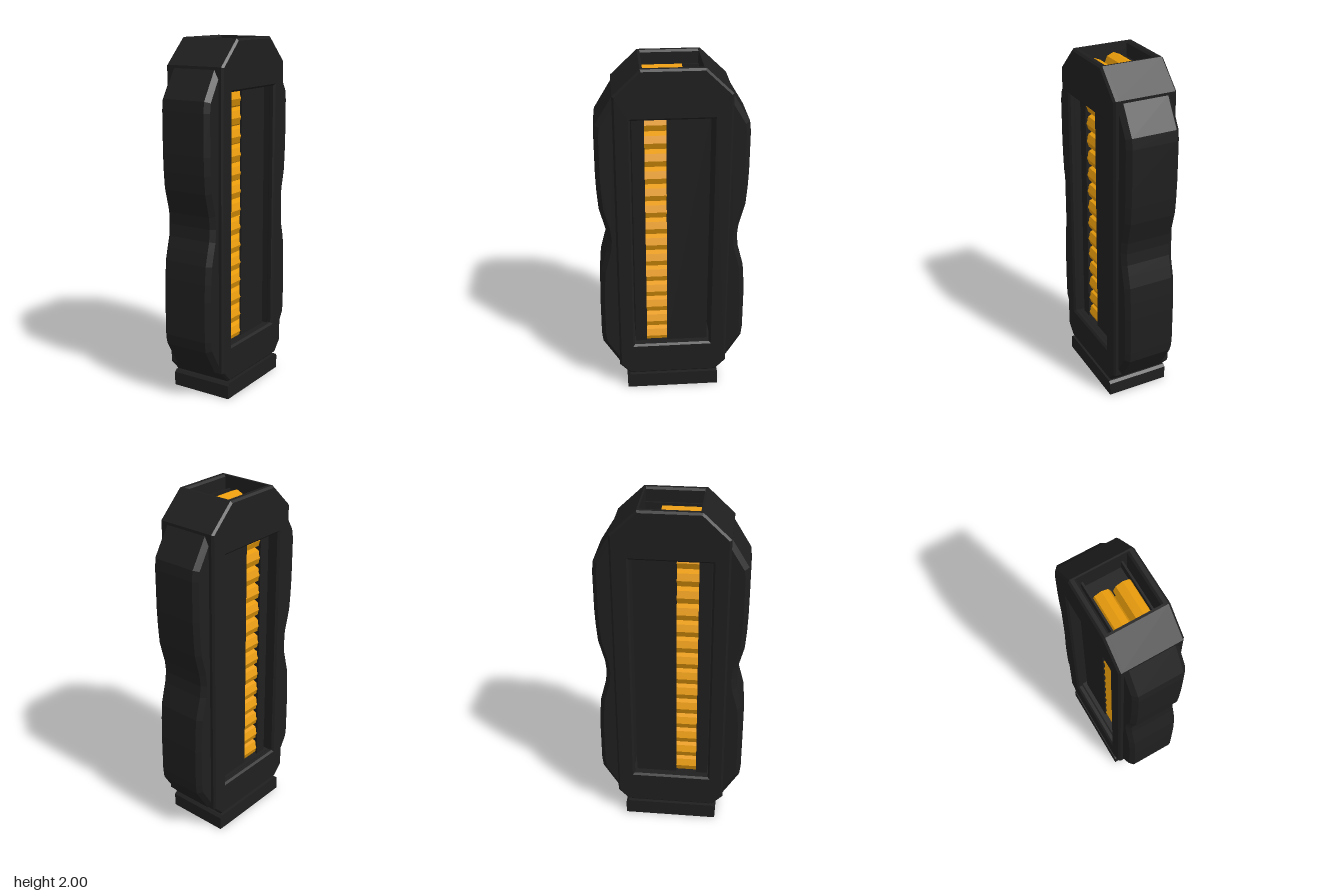
import * as THREE from 'three';

const black = new THREE.MeshStandardMaterial({ color: 0x1f1f1f });
black.name = 'black polymer';
const gold = new THREE.MeshStandardMaterial({ color: 0xee9f0a });
gold.name = 'brass';

const toPoints = (list) => list.map(([z, y]) => new THREE.Vector2(z, y));

// Extrudes a [z, y] outline across x, centred on x, with chamfered edges.
function slab(outline, width, x = 0, bevel = 0, hole = null) {
  const shape = new THREE.Shape(toPoints(outline));
  if (hole) shape.holes.push(new THREE.Path(toPoints(hole)));
  const depth = width - 2 * bevel;
  const geo = new THREE.ExtrudeGeometry(shape, {
    depth, bevelEnabled: bevel > 0, bevelSize: bevel, bevelThickness: bevel,
    bevelOffset: -bevel, bevelSegments: 1,
  });
  geo.translate(0, 0, -depth / 2);
  geo.rotateY(-Math.PI / 2);
  geo.translate(x, 0, 0);
  return geo;
}

function box(x0, x1, y0, y1, z0, z1) {
  return new THREE.BoxGeometry(x1 - x0, y1 - y0, z1 - z0)
    .translate((x0 + x1) / 2, (y0 + y1) / 2, (z0 + z1) / 2);
}

export function createModel() {
  const model = new THREE.Group();
  model.name = 'magazine';
  const add = (name, geo, mat = black) => {
    const mesh = new THREE.Mesh(geo, mat);
    mesh.name = name;
    model.add(mesh);
    return mesh;
  };

  // Shell: two windowed side plates around a frame that is open at the top
  const outline = [[-0.255, 0.1], [0.255, 0.1], [0.317, 0.165], [0.317, 1.86],
    [0.17, 2], [-0.17, 2], [-0.317, 1.86], [-0.317, 0.165]];
  const windowHole = [[-0.215, 0.305], [-0.215, 1.725], [0.225, 1.725], [0.225, 0.305]];
  for (const s of [-1, 1]) {
    add('sidePlate', slab(outline, 0.042, s * 0.161, 0.011, windowHole));
  }
  add('frame', slab([
    [-0.255, 0.1], [0.255, 0.1], [0.317, 0.165], [0.317, 1.86], [0.17, 2],
    [0.157, 2], [0.157, 1.74], [0.237, 1.74], [0.237, 0.293],
    [-0.227, 0.293], [-0.227, 1.74], [-0.16, 1.74], [-0.16, 2],
    [-0.17, 2], [-0.317, 1.86], [-0.317, 0.165],
  ], 0.342));

  // Waisted grips on the front and back edges
  const half = [[0.365, 1.0025], [0.372, 1.07], [0.388, 1.13], [0.406, 1.2], [0.414, 1.3],
    [0.418, 1.4], [0.418, 1.63], [0.411, 1.69], [0.317, 1.845], [0.28, 1.845]];
  const lower = half.slice(1).reverse().map(([z, y]) => [z, 2.005 - y]);
  const gripOutline = [...lower, ...half];
  for (const s of [-1, 1]) {
    const grip = add(s > 0 ? 'frontGrip' : 'backGrip', slab(gripOutline, 0.308, 0, 0.025));
    if (s < 0) grip.rotation.y = Math.PI;
  }

  // Floor plate with a chamfered top edge and a neck joining the shell
  add('floorPlate', slab([[-0.27, 0], [0.272, 0], [0.272, 0.078],
    [0.258, 0.092], [-0.256, 0.092], [-0.27, 0.078]], 0.37));
  add('neck', box(-0.165, 0.165, 0.08, 0.12, -0.24, 0.24));

  // Inner liner, slotted on both sides to show the rounds
  add('linerBack', box(-0.11, 0.11, 0.29, 1.74, -0.207, -0.07));
  add('linerBackTop', box(-0.11, 0.11, 1.7, 1.87, -0.16, -0.07));
  add('linerFront', box(-0.11, 0.11, 0.29, 1.74, 0.158, 0.217));
  for (const s of [-1, 1]) {
    const span = s > 0 ? [0.106, 0.117] : [-0.117, -0.106];
    add('linerSide', box(...span, 0.29, 1.74, -0.207, 0.03));
    add('linerLip', box(...span, 0.29, 1.74, 0.15, 0.217));
    add('linerTop', box(...span, 1.73, 1.93, -0.16, 0.157));
  }
  add('divider', box(-0.005, 0.005, 0.29, 1.84, -0.07, 0.157));

  // Two staggered columns of octagonal rounds
  const pitch = 0.104;
  const round = new THREE.CylinderGeometry(0.054, 0.054, 0.222, 8).toNonIndexed();
  round.rotateX(Math.PI / 2);
  round.computeVertexNormals();
  for (const s of [-1, 1]) {
    for (let i = 0; i < 16; i++) {
      const y = 0.32 + i * pitch + (s < 0 ? 0.015 : 0);
      add('round', round, gold).position.set(s * 0.059, y, 0.046);
    }
  }
  return model;
}
